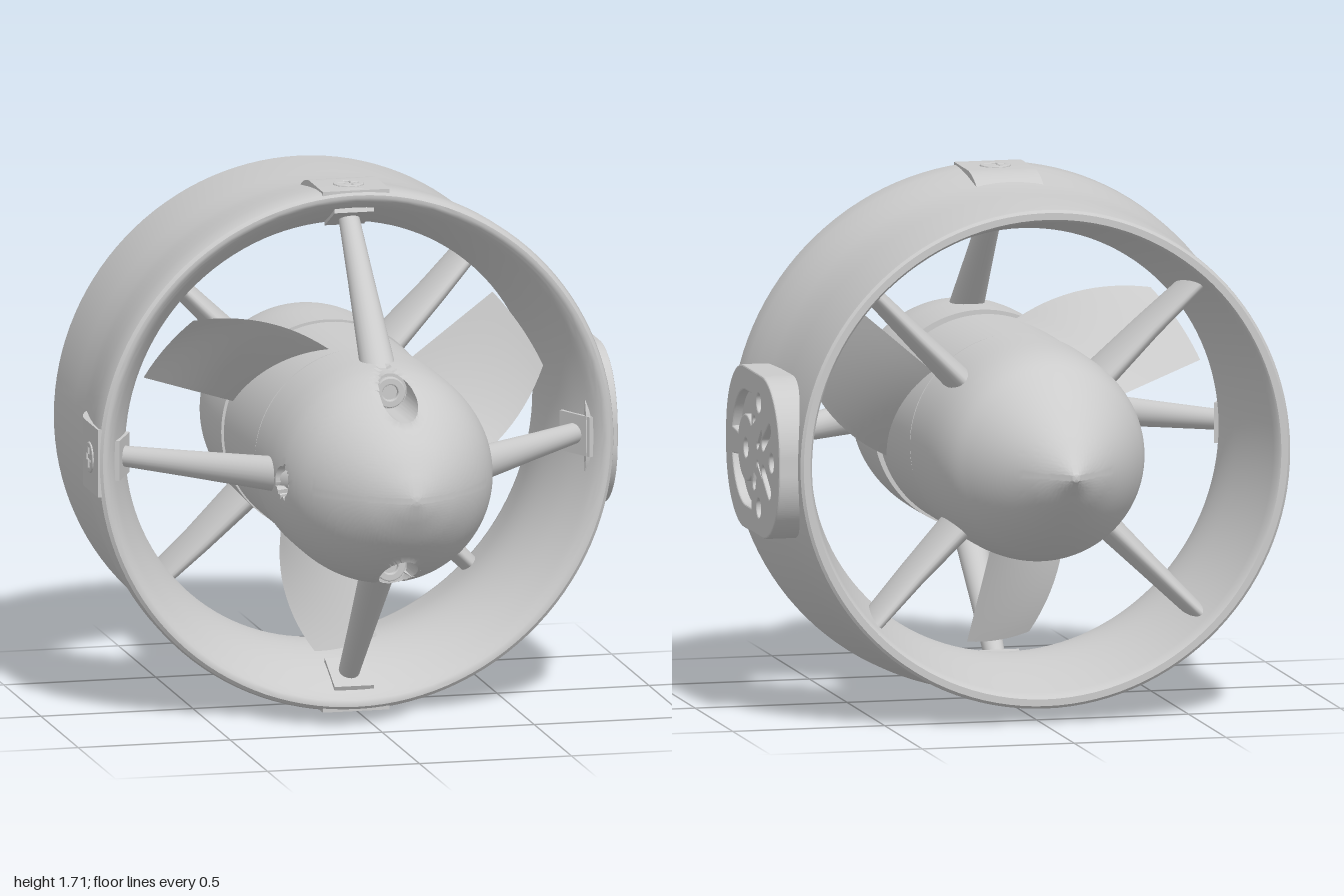
import * as THREE from 'three';
import { toCreasedNormals } from 'three/addons/utils/BufferGeometryUtils.js';

const mat = new THREE.MeshStandardMaterial({ color: 0xcccccc });
const thinMat = new THREE.MeshStandardMaterial({ color: 0xcccccc, side: THREE.DoubleSide });
const V2 = (x, y) => new THREE.Vector2(x, y);
const lerp = THREE.MathUtils.lerp;

function add(parent, name, geo, material = mat) {
  const m = new THREE.Mesh(geo, material);
  m.name = name;
  parent.add(m);
  return m;
}

// Revolve [radius, z] points about the z axis
function turned(points, segments) {
  const geo = new THREE.LatheGeometry(points, segments).rotateX(Math.PI / 2);
  return geo;
}

// Sink a round pocket into a dense surface, snapping nearby vertices to its rim
function carve(geo, [a, b, c], ca, cb, radius, floor, sign = 1) {
  const p = geo.attributes.position, v = new THREE.Vector3();
  for (let i = 0; i < p.count; i++) {
    v.fromBufferAttribute(p, i);
    const da = v[a] - ca, db = v[b] - cb, d = Math.hypot(da, db);
    if (v[c] * sign < 0 || d > radius + 0.011) continue;
    if (d < radius) v[c] = sign * Math.min(sign * v[c], floor);
    if (d > radius - 0.011) {
      v[a] = ca + (da * radius) / d;
      v[b] = cb + (db * radius) / d;
    }
    p.setXYZ(i, v.x, v.y, v.z);
  }
}

// Strut along +y from elliptical sections [r, zCentre, halfWidth, halfChord]
function strut(sections, n = 24) {
  const pos = [], idx = [];
  sections.forEach(([r, z, w, c], j) => {
    for (let i = 0; i < n; i++) {
      const t = (i / n) * Math.PI * 2;
      pos.push(w * Math.sin(t), r, z + c * Math.cos(t));
      if (j === sections.length - 1) continue;
      const k = j * n + i, l = j * n + ((i + 1) % n);
      idx.push(k, l, k + n, l + n, k + n, l);
    }
  });
  const geo = new THREE.BufferGeometry();
  geo.setAttribute('position', new THREE.Float32BufferAttribute(pos, 3));
  geo.setIndex(idx);
  geo.computeVertexNormals();
  return geo;
}

const circlePath = (x, y, r) => new THREE.Path().absarc(x, y, r, 0, Math.PI * 2, true);

// Screw facing +z; cross recess or round socket
function screw(r, cross) {
  const g = new THREE.Group();
  g.name = 'screw';
  const s = new THREE.Shape().absarc(0, 0, r, 0, Math.PI * 2);
  const a = r * 0.62, b = r * 0.16;
  s.holes.push(cross
    ? new THREE.Path([[b, a], [b, b], [a, b], [a, -b], [b, -b], [b, -a], [-b, -a], [-b, -b],
      [-a, -b], [-a, b], [-b, b], [-b, a]].map(([x, y]) => V2(x, y)))
    : circlePath(0, 0, r * 0.5));
  add(g, 'screwHead', new THREE.ExtrudeGeometry(s, {
    depth: 0.014, curveSegments: 24, bevelSize: 0.004, bevelThickness: 0.004, bevelOffset: -0.004, bevelSegments: 2,
  }));
  add(g, 'screwFloor', new THREE.CircleGeometry(r, 24)).position.z = 0.002;
  return g;
}

function plateOutline(x0, x1, h, r) {
  return new THREE.Shape()
    .absarc(x1 - r, h - r, r, 0, Math.PI / 2).absarc(x0 + r, h - r, r, Math.PI / 2, Math.PI)
    .absarc(x0 + r, r - h, r, Math.PI, Math.PI * 1.5).absarc(x1 - r, r - h, r, Math.PI * 1.5, Math.PI * 2);
}

// Rounded slot between two points
function slot(x0, y0, x1, y1, r) {
  const a = Math.atan2(y1 - y0, x1 - x0);
  return new THREE.Path().absarc(x1, y1, r, a - Math.PI / 2, a + Math.PI / 2)
    .absarc(x0, y0, r, a + Math.PI / 2, a + Math.PI * 1.5);
}

// Side mounting plate, lying on +x
function mountingPlate() {
  const g = new THREE.Group();
  g.name = 'mountingPlate';
  const base = new THREE.ExtrudeGeometry(plateOutline(-0.15, 0.56, 0.262, 0.235),
    { depth: 0.075, bevelEnabled: false, curveSegments: 24 });
  add(g, 'plateBase', base.translate(0, 0, 0.765));

  const top = plateOutline(-0.15, 0.56, 0.262, 0.235);
  for (const s of [1, -1]) {
    // Curved recess around the boss
    top.holes.push(new THREE.Path()
      .absarc(0.115, 0, 0.185, s * 2.9, s * 1.6, s > 0)
      .lineTo(0.185, s * 0.185).lineTo(0.185, s * 0.085)
      .absarc(0.115, 0, 0.108, s * 0.9, s * 2.8, s < 0));
    top.holes.push(slot(0.345, s * 0.045, 0.425, s * 0.1, 0.02));
    top.holes.push(slot(0.245, s * 0.045, 0.225, s * 0.1, 0.018));
    top.holes.push(slot(0.27, s * 0.03, 0.315, s * 0.075, 0.01));
    top.holes.push(circlePath(0.285, s * 0.17, 0.03));
  }
  top.holes.push(circlePath(0.455, 0, 0.03), circlePath(0.115, 0, 0.03), circlePath(-0.09, 0, 0.055));
  add(g, 'plateFace', new THREE.ExtrudeGeometry(top, {
    depth: 0.025, curveSegments: 24, bevelSize: 0.005, bevelThickness: 0.005, bevelOffset: -0.005, bevelSegments: 2,
  }).translate(0, 0, 0.84));
  const sc = screw(0.05, true);
  sc.position.set(-0.09, 0, 0.844);
  g.add(sc);
  g.rotation.y = Math.PI / 2;
  return g;
}

// Screw pad on the outside of the duct, at +y
function screwPad() {
  const g = new THREE.Group();
  g.name = 'screwPad';
  const s = new THREE.Shape([V2(0.185, 0.825), V2(0.185, 0.85), V2(0, 0.85)]);
  s.quadraticCurveTo(-0.08, 0.845, -0.15, 0.79);
  add(g, 'padBody', toCreasedNormals(new THREE.ExtrudeGeometry(s, { depth: 0.22, bevelEnabled: false })
    .translate(0, 0, -0.11).rotateY(-Math.PI / 2), 0.5));
  const sc = screw(0.05, true);
  sc.rotation.x = -Math.PI / 2;
  sc.position.set(0, 0.837, 0.08);
  g.add(sc);
  return g;
}

export function createModel() {
  const root = new THREE.Group();
  root.name = 'ductedThruster';
  const body = new THREE.Group();
  body.name = 'thrusterBody';
  body.position.set(-0.008, 0.855, 0);
  root.add(body);

  // Duct: flared intake, narrow throat, wider outlet
  const inner = new THREE.SplineCurve([V2(0.815, 0.187), V2(0.785, 0.15), V2(0.73, 0.04), V2(0.697, -0.08),
    V2(0.692, -0.2), V2(0.715, -0.35), V2(0.768, -0.585)]).getPoints(28);
  const outer = [[0.775, -0.593], [0.797, -0.593], [0.806, -0.585], [0.808, -0.57], [0.812, -0.3], [0.815, -0.18],
    [0.823, -0.1], [0.838, 0], [0.848, 0.09], [0.851, 0.165], [0.846, 0.183], [0.835, 0.192], [0.825, 0.192]];
  const ring = [V2(0.768, -0.585), ...outer.map(([r, z]) => V2(r, z)), ...inner];
  add(body, 'duct', toCreasedNormals(turned(ring, 120), 0.6));

  // Nose with two screw pockets and two side openings
  const noseCurve = new THREE.SplineCurve([V2(0.355, 0.27), V2(0.356, 0.4), V2(0.354, 0.52), V2(0.342, 0.62),
    V2(0.31, 0.72), V2(0.25, 0.82), V2(0.165, 0.91), V2(0.075, 0.97), V2(0, 1)]);
  const nose = turned([V2(0.33, 0.27), ...noseCurve.getSpacedPoints(90)], 180);
  for (const s of [1, -1]) {
    carve(nose, ['x', 'y', 'z'], 0, s * 0.285, 0.058, 0.625);
    carve(nose, ['y', 'z', 'x'], 0, 0.592, 0.05, 0.27, s);
    const sc = screw(0.05, false);
    sc.position.set(0, s * 0.283, 0.626);
    body.add(sc);
  }
  add(body, 'nose', toCreasedNormals(nose, 0.6));

  // Propeller hub between two grooves, then the tail cone
  const mid = [[0, -0.2], [0.33, -0.2], [0.33, -0.18], [0.346, -0.18], [0.346, 0.235], [0.336, 0.235],
    [0.336, 0.275], [0, 0.275]];
  add(body, 'propellerHub', toCreasedNormals(turned(mid.map(([r, z]) => V2(r, z)), 96), 0.5));
  const tail = new THREE.SplineCurve([V2(0.018, -0.992), V2(0.06, -0.955), V2(0.13, -0.89), V2(0.215, -0.79),
    V2(0.28, -0.69), V2(0.325, -0.59), V2(0.346, -0.45), V2(0.35, -0.2)]).getPoints(48);
  add(body, 'tailCone', toCreasedNormals(turned([V2(0, -1), V2(0.013, -0.998), ...tail, V2(0.32, -0.2)], 96), 0.6));

  // Three twisted propeller blades
  const rad = Math.PI / 180;
  for (let k = 0; k < 3; k++) {
    const blade = new THREE.PlaneGeometry(1, 1, 14, 14), p = blade.attributes.position;
    for (let i = 0; i < p.count; i++) {
      const u = p.getX(i) + 0.5, v = p.getY(i) + 0.5;
      const ang = lerp(lerp(222, 260, Math.pow(u, 0.85)), 281, v) * rad;
      const r = lerp(0.33, 0.675, u);
      p.setXYZ(i, r * Math.cos(ang), r * Math.sin(ang), 0.02 + lerp(1, -1, v) * lerp(0.16, 0.085, u));
    }
    blade.computeVertexNormals();
    add(body, 'propellerBlade', blade, thinMat).rotation.z = k * 120 * rad;
  }

  // Swept front struts with feet, rear stator vanes, and outer screw pads
  const frontGeo = strut([[0.3, 0.505, 0.058, 0.078], [0.36, 0.45, 0.055, 0.07], [0.57, 0.25, 0.042, 0.06],
    [0.78, 0.05, 0.031, 0.05]]);
  const rearGeo = strut([[0.3, -0.36, 0.045, 0.13], [0.55, -0.38, 0.035, 0.11], [0.765, -0.42, 0.028, 0.1]]);
  for (let k = 0; k < 4; k++) {
    const arm = new THREE.Group();
    arm.name = 'frontStrut';
    arm.rotation.z = k * Math.PI / 2;
    add(arm, 'strutBlade', frontGeo);
    const foot = add(arm, 'strutFoot', new THREE.BoxGeometry(0.13, 0.04, 0.15));
    foot.position.set(0, 0.758, 0.085);
    foot.rotation.x = -0.46;
    body.add(arm);
    add(body, 'rearVane', rearGeo).rotation.z = (k + 0.5) * Math.PI / 2;
    if (k < 3) {
      const pad = screwPad();
      pad.rotation.z = k * Math.PI / 2;
      body.add(pad);
    }
  }
  body.add(mountingPlate());
  return root;
}
